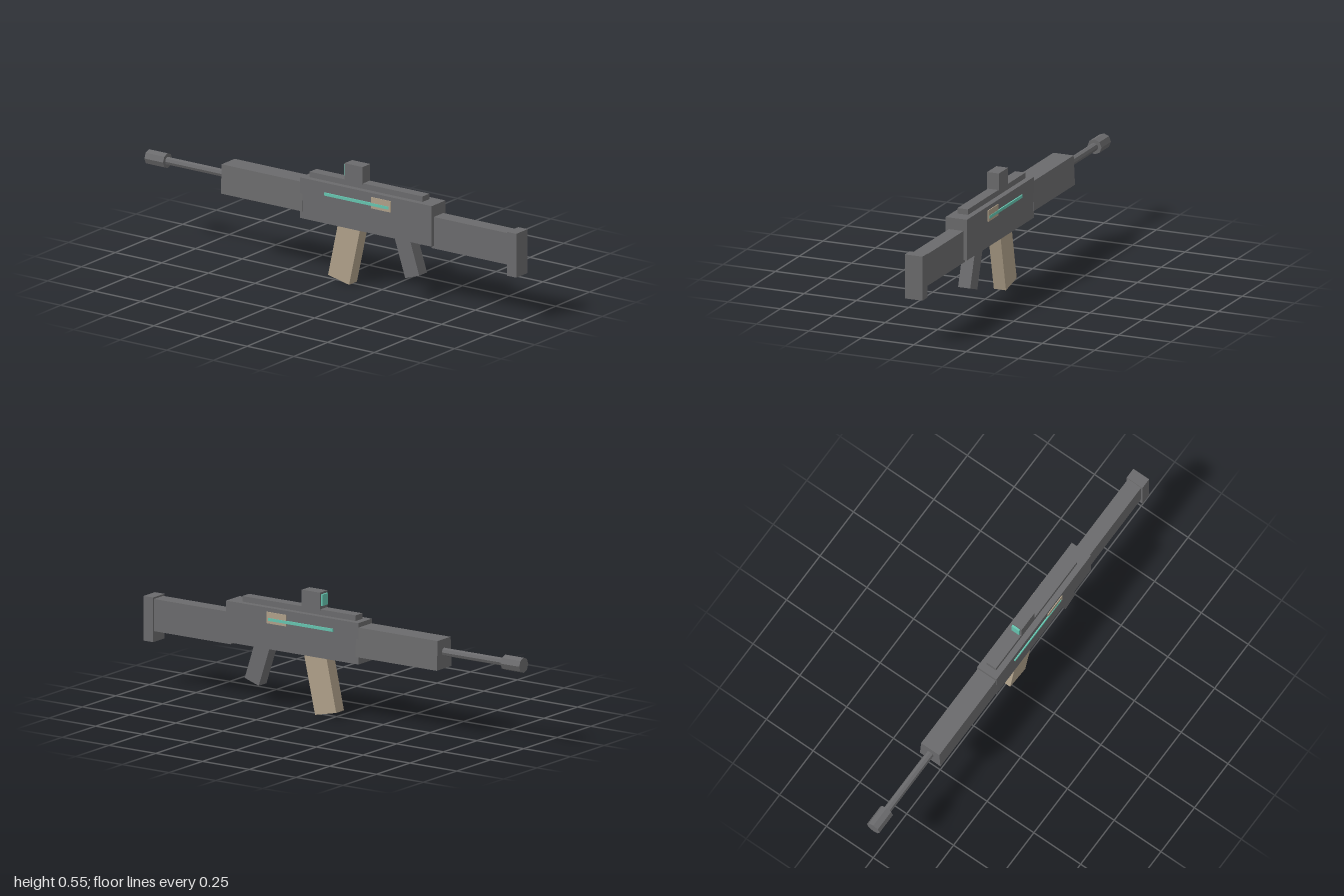
import * as THREE from 'three';

export function createModel() {
  const model = new THREE.Group();
  const mat = (name, color) => {
    const m = new THREE.MeshStandardMaterial({ color, flatShading: true });
    m.name = name;
    return m;
  };
  const grey = mat('gunmetal grey', 0x6b6b6d);
  const tan = mat('tan', 0xb0a18a);
  const teal = mat('teal', 0x66c5b0);

  const add = (name, geometry, material) => {
    const mesh = new THREE.Mesh(geometry, material);
    mesh.name = name;
    model.add(mesh);
    return mesh;
  };

  // Box given by its x, y and z ranges
  const box = (name, material, [x0, x1], [y0, y1], [z0, z1]) => {
    const mesh = add(name, new THREE.BoxGeometry(x1 - x0, y1 - y0, z1 - z0), material);
    mesh.position.set((x0 + x1) / 2, (y0 + y1) / 2, (z0 + z1) / 2);
    return mesh;
  };

  // Side outline of [z, y] points, extruded across x
  const sidePlate = (name, material, points, halfWidth) => {
    const shape = new THREE.Shape(points.map(([z, y]) => new THREE.Vector2(-z, y)));
    const geo = new THREE.ExtrudeGeometry(shape, { depth: 2 * halfWidth, bevelEnabled: false });
    geo.translate(0, 0, -halfWidth).rotateY(Math.PI / 2);
    return add(name, geo, material);
  };

  // Eight-sided rod along z
  const rod = (name, radius, z0, z1) => {
    const geo = new THREE.CylinderGeometry(radius, radius, z1 - z0, 8).rotateX(Math.PI / 2);
    add(name, geo, grey).position.set(0, 0.373, (z0 + z1) / 2);
  };

  // Stock and main body
  box('buttPlate', grey, [-0.042, 0.042], [0.205, 0.405], [0.95, 1]);
  box('stock', grey, [-0.035, 0.035], [0.253, 0.397], [0.54, 0.96]);
  box('receiver', grey, [-0.051, 0.051], [0.265, 0.45], [-0.153, 0.553]);

  // Handguard, slightly wider at the bottom
  const guard = box('handguard', grey, [-0.055, 0.055], [0.298, 0.43], [-0.575, -0.14]);
  const p = guard.geometry.attributes.position;
  for (let i = 0; i < p.count; i++) if (p.getY(i) > 0) p.setX(i, p.getX(i) * 0.88);
  guard.geometry.computeVertexNormals();

  // Barrel and muzzle
  rod('barrel', 0.018, -0.91, -0.56);
  rod('muzzle', 0.034, -1, -0.9);

  // Top rail and sight with its lens
  box('topRail', grey, [-0.025, 0.025], [0.445, 0.475], [-0.12, 0.485]);
  box('sight', grey, [-0.028, 0.028], [0.47, 0.55], [0.069, 0.166]);
  box('sightLens', teal, [-0.02, 0.02], [0.49, 0.541], [0.06, 0.0695]);

  // Slanted grip and magazine, their tops inside the receiver
  sidePlate('grip', grey, [[0.47, 0.112], [0.395, 0.087], [0.328, 0.29], [0.405, 0.312]], 0.029);
  sidePlate('magazine', tan, [[0.094, 0], [-0.019, 0.025], [0.038, 0.285], [0.158, 0.285]], 0.029);

  // Side ports and accent strips on both sides
  for (const s of [-1, 1]) {
    const span = (a, b) => (s > 0 ? [a, b] : [-b, -a]);
    box('sidePort', tan, span(0.047, 0.055), [0.381, 0.432], [0.23, 0.335]);
    box('accentStrip', teal, span(0.048, 0.057), [0.393, 0.406], [-0.02, 0.325]);
  }
  return model;
}
